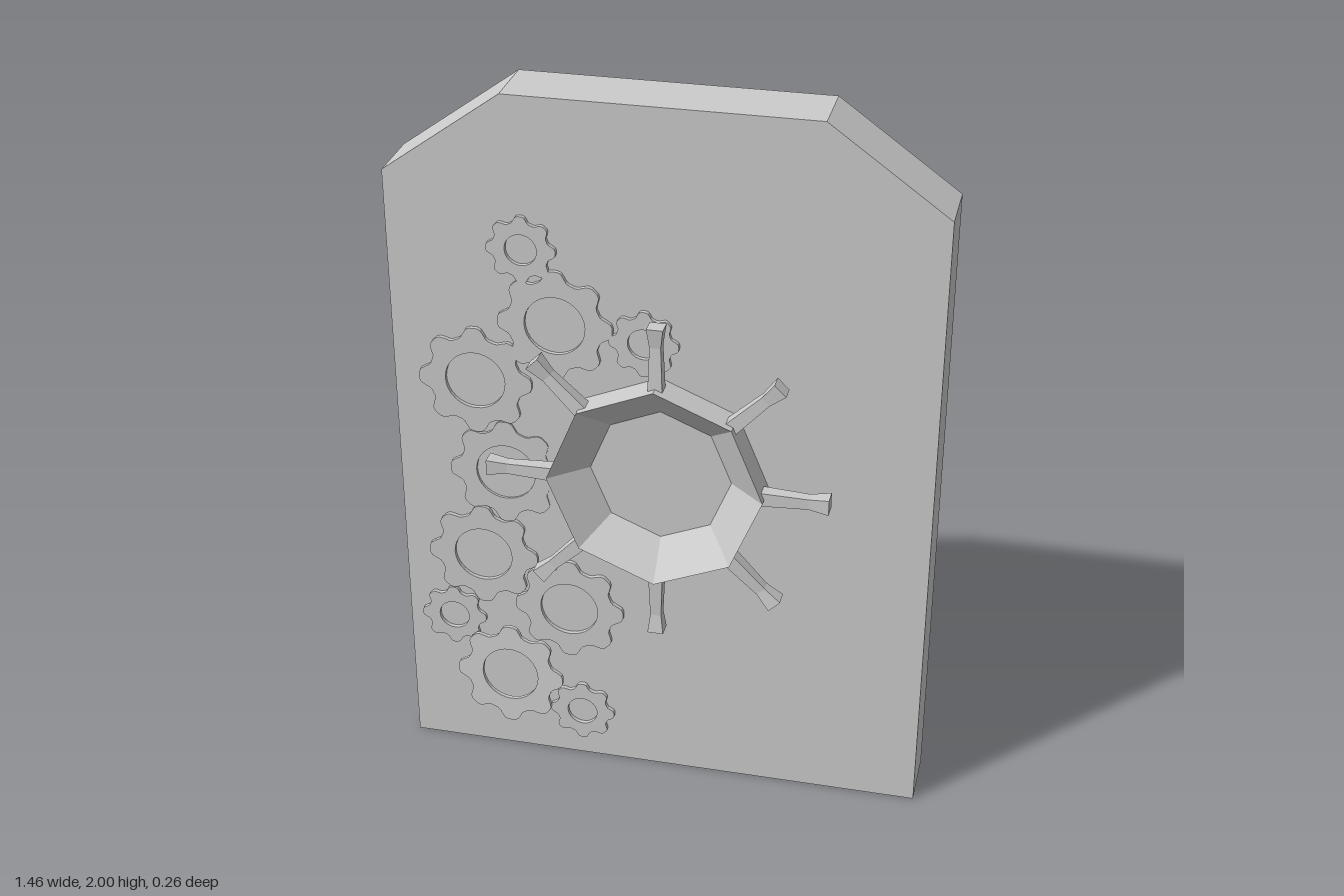
import * as THREE from 'three';

const material = new THREE.MeshStandardMaterial({ color: 0xcccccc, flatShading: true });
const FRONT = 0.045; // z of the door's front face

function part(name, geometry, parent) {
  const flat = geometry.index ? geometry.toNonIndexed() : geometry;
  flat.computeVertexNormals();
  const mesh = new THREE.Mesh(flat, material);
  mesh.name = name;
  parent.add(mesh);
  return mesh;
}

const lathe = (pts, sides) =>
  new THREE.LatheGeometry(pts.map(([r, y]) => new THREE.Vector2(r, y)), sides);

// Eight rounded teeth around a round hole
function gearGeometry(radius, hole, depth) {
  const outline = [];
  const steps = 96;
  for (let i = 0; i < steps; i++) {
    const a = (i / steps) * Math.PI * 2;
    const wave = THREE.MathUtils.clamp(1.5 * Math.cos(8 * a), -1, 1);
    const r = radius * (0.91 + 0.09 * wave);
    outline.push(new THREE.Vector2(r * Math.cos(a), r * Math.sin(a)));
  }
  const shape = new THREE.Shape(outline);
  shape.holes.push(new THREE.Path().absarc(0, 0, hole, 0, Math.PI * 2, true));
  return new THREE.ExtrudeGeometry(shape, { depth, bevelEnabled: false, curveSegments: 16 });
}

export function createModel() {
  const model = new THREE.Group();
  model.name = 'vaultDoor';

  // Door slab with clipped top corners
  const outline = new THREE.Shape([
    [-0.73, 0], [0.73, 0], [0.73, 1.77], [0.41, 2], [-0.41, 2], [-0.73, 1.77],
  ].map(([x, y]) => new THREE.Vector2(x, y)));
  const slab = new THREE.ExtrudeGeometry(outline, { depth: 0.177, bevelEnabled: false });
  part('doorSlab', slab, model).position.z = FRONT - 0.177;

  // Octagonal hand wheel: upright outer wall, funnel sloping in to the door
  const wheel = new THREE.Group();
  wheel.name = 'handWheel';
  wheel.position.set(0, 0.963, FRONT);
  model.add(wheel);
  const rim = lathe([[0.293, 0], [0.293, 0.088], [0.193, 0.001]], 8);
  rim.rotateX(Math.PI / 2);
  part('wheelRim', rim, wheel);

  // Square handles with a narrow waist and a flared tip
  const s = Math.SQRT2;
  const handle = lathe([
    [0, 0.27], [0.02 * s, 0.27], [0.015 * s, 0.41], [0.022 * s, 0.465], [0, 0.465],
  ], 4);
  handle.rotateY(Math.PI / 4);
  for (let i = 0; i < 8; i++) {
    const mesh = part('wheelHandle', handle, wheel);
    mesh.rotation.z = (i * Math.PI) / 4;
    mesh.position.z = 0.047;
  }

  // Gear train: x, y, large or small, height off the door, tilts about x and y
  const gears = [
    [-0.365, 1.587, false, 0, 0, 0],
    [-0.28, 1.38, true, 0, 0, 0],
    [-0.042, 1.353, false, 0, 0, 0],
    [-0.503, 1.194, true, 0.001, 0, 0.02],
    [-0.43, 0.918, true, -0.005, 0, 0.03],
    [-0.503, 0.647, true, 0.001, 0, 0.02],
    [-0.26, 0.5, true, 0, 0, 0],
    [-0.598, 0.43, false, 0, 0, 0.02],
    [-0.43, 0.27, true, 0.029, -0.05, -0.03],
    [-0.228, 0.154, false, 0, 0, 0],
  ];
  const large = gearGeometry(0.155, 0.082, 0.012);
  const small = gearGeometry(0.093, 0.043, 0.012);
  for (const [x, y, isLarge, lift, tiltX, tiltY] of gears) {
    const mesh = part(isLarge ? 'largeGear' : 'smallGear', isLarge ? large : small, model);
    mesh.position.set(x, y, FRONT + lift);
    mesh.rotation.set(tiltX, tiltY, 0);
  }

  return model;
}
